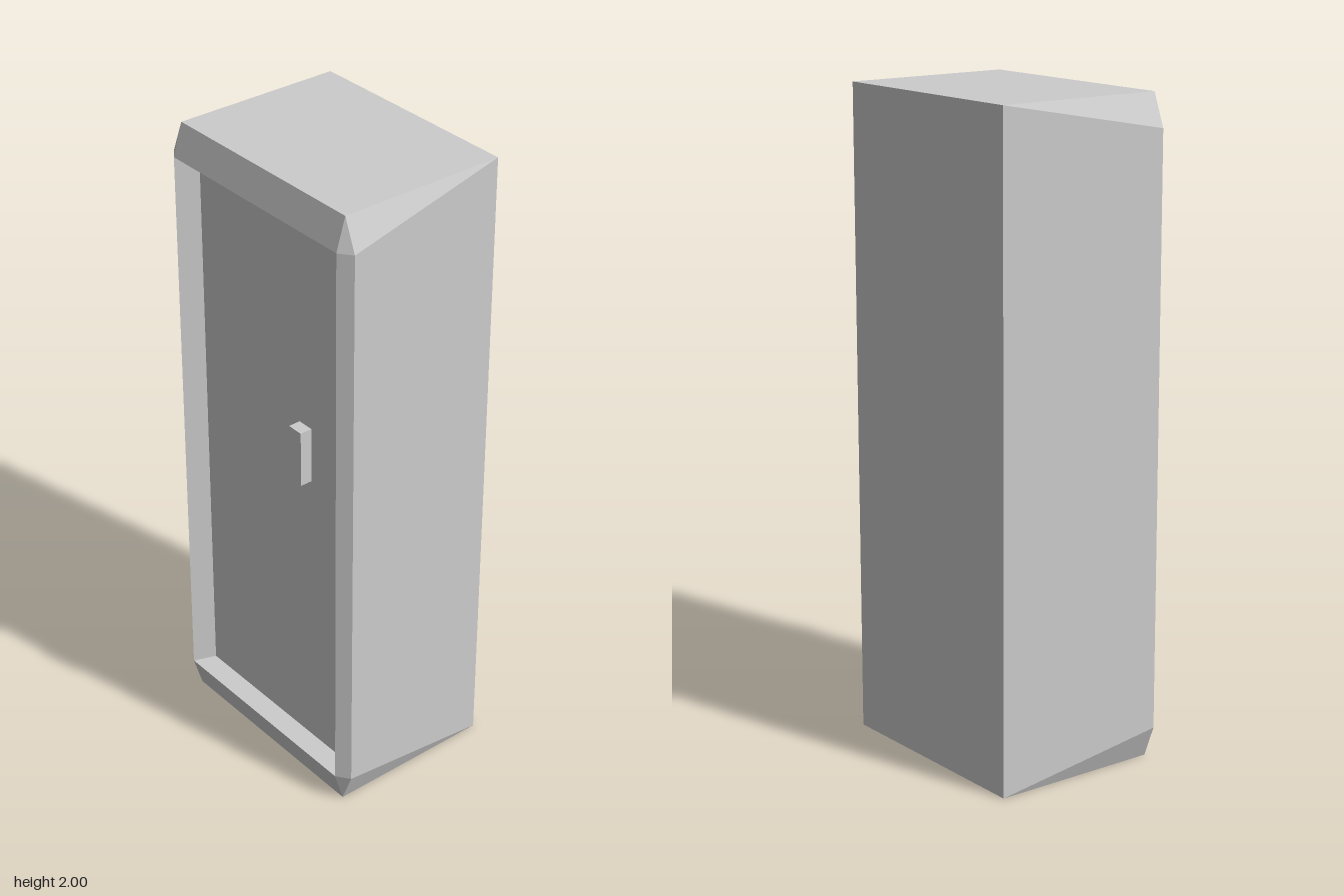
import * as THREE from 'three';

const material = new THREE.MeshStandardMaterial({ color: 0xcccccc, flatShading: true });

// Builds flat polygons; each one is turned so that it faces along its hint direction.
function facetMesh(name, facets) {
  const pos = [];
  for (const [hint, ...pts] of facets) {
    let p = pts.map((c) => new THREE.Vector3(...c));
    const n = p[1].clone().sub(p[0]).cross(p[2].clone().sub(p[0]));
    if (n.dot(new THREE.Vector3(...hint)) < 0) p = p.reverse();
    for (let i = 1; i < p.length - 1; i++) {
      for (const v of [p[0], p[i], p[i + 1]]) pos.push(v.x, v.y, v.z);
    }
  }
  const geometry = new THREE.BufferGeometry();
  geometry.setAttribute('position', new THREE.Float32BufferAttribute(pos, 3));
  geometry.computeVertexNormals();
  const mesh = new THREE.Mesh(geometry, material);
  mesh.name = name;
  return mesh;
}

export function createModel() {
  const group = new THREE.Group();
  group.name = 'cabinet';

  const back = 0.3, rim = -0.236, face = -0.266, panel = -0.196;
  const zIn = 0.36, zOut = 0.4, zPanel = 0.335;
  const H = 1, hIn = 0.9; // half heights about the middle

  const shell = [[[1, 0, 0], [back, -H, -zIn], [back, H, -zIn], [back, H, zIn], [back, -H, zIn]]];
  const recess = [];

  // Top and bottom: flat cap, bevel above the opening, ledge of the recess
  for (const s of [1, -1]) {
    shell.push([[0, s, 0], [back, s * H, -zIn], [back, s * H, zIn], [rim, s * H, zIn], [rim, s * H, -zIn]]);
    shell.push([[-1, s, 0], [rim, s * H, -zIn], [rim, s * H, zIn], [face, s * hIn, zIn], [face, s * hIn, -zIn]]);
    recess.push([[0, -s, 0], [face, s * hIn, -zIn], [face, s * hIn, zIn], [panel, s * hIn, zPanel], [panel, s * hIn, -zPanel]]);
  }

  // Sides: tapered wall, door-edge bevel, corner triangles, recess jamb
  for (const t of [1, -1]) {
    shell.push([[0, 0, t], [back, -H, t * zIn], [back, H, t * zIn], [rim, hIn, t * zOut], [rim, -hIn, t * zOut]]);
    shell.push([[-1, 0, t], [rim, -hIn, t * zOut], [rim, hIn, t * zOut], [face, hIn, t * zIn], [face, -hIn, t * zIn]]);
    recess.push([[0, 0, -t], [face, -hIn, t * zIn], [face, hIn, t * zIn], [panel, hIn, t * zPanel], [panel, -hIn, t * zPanel]]);
    for (const s of [1, -1]) {
      shell.push([[0, s, t], [back, s * H, t * zIn], [rim, s * H, t * zIn], [rim, s * hIn, t * zOut]]);
      shell.push([[-1, s, t], [rim, s * H, t * zIn], [rim, s * hIn, t * zOut], [face, s * hIn, t * zIn]]);
    }
  }

  // Door panel set back in the opening
  const door = [[[-1, 0, 0], [panel, -hIn, -zPanel], [panel, hIn, -zPanel], [panel, hIn, zPanel], [panel, -hIn, zPanel]]];

  for (const [name, facets] of [['cabinetShell', shell], ['doorRecess', recess], ['doorPanel', door]]) {
    const mesh = facetMesh(name, facets);
    mesh.position.y = H;
    group.add(mesh);
  }

  // Door handle
  const handle = new THREE.Mesh(new THREE.BoxGeometry(0.038, 0.175, 0.052), material);
  handle.name = 'handle';
  handle.position.set(-0.283, 1.21, 0.224);
  group.add(handle);

  return group;
}
